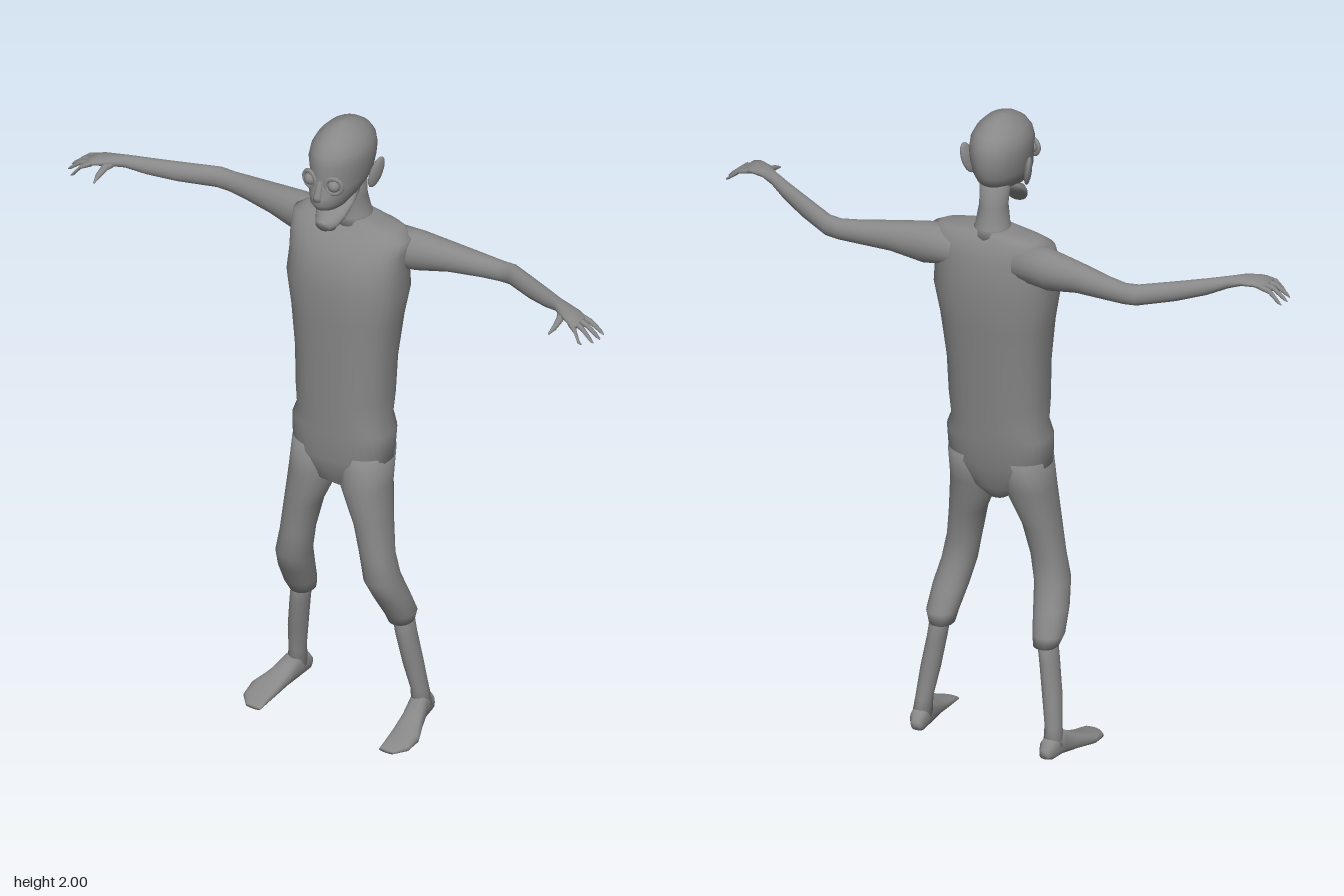
import * as THREE from 'three';

const skin = new THREE.MeshStandardMaterial({ color: 0x888888 });
skin.name = 'grey skin';

// Closed skin over elliptical rings [t, c1, c2, r1, r2] along an axis ('x', 'y' or 'z').
// c1,r1 and c2,r2 lie on the other two axes in x, y, z order; side mirrors x.
function loft(name, axis, rings, { side = 1, n = 20, power = 2 } = {}) {
  const pos = [], idx = [];
  const add = (t, u, v) => {
    const p = axis === 'x' ? [t, u, v] : axis === 'y' ? [u, t, v] : [u, v, t];
    pos.push(p[0] * side, p[1], p[2]);
  };
  const bend = (v) => Math.sign(v) * Math.abs(v) ** (2 / power);
  for (const [t, c1, c2, r1, r2] of rings) {
    for (let i = 0; i < n; i++) {
      const a = (i / n) * Math.PI * 2;
      add(t, c1 + r1 * bend(Math.cos(a)), c2 + r2 * bend(Math.sin(a)));
    }
  }
  const last = rings.length - 1;
  add(rings[0][0], rings[0][1], rings[0][2]);
  add(rings[last][0], rings[last][1], rings[last][2]);
  const start = rings.length * n, end = start + 1;
  for (let i = 0; i < n; i++) {
    const j = (i + 1) % n;
    for (let k = 0; k < last; k++) {
      const a = k * n + i, b = k * n + j;
      idx.push(a, b, b + n, a, b + n, a + n);
    }
    idx.push(start, j, i, end, last * n + i, last * n + j);
  }
  // Turn all faces outwards, whichever way the rings run
  const P = (i) => new THREE.Vector3().fromArray(pos, i * 3);
  const origin = P(start);
  let volume = 0;
  for (let i = 0; i < idx.length; i += 3) {
    const [a, b, c] = [0, 1, 2].map((k) => P(idx[i + k]).sub(origin));
    volume += a.dot(b.cross(c));
  }
  if (volume < 0) idx.reverse();
  const geo = new THREE.BufferGeometry();
  geo.setAttribute('position', new THREE.Float32BufferAttribute(pos, 3));
  geo.setIndex(idx);
  geo.computeVertexNormals();
  return named(name, geo);
}

function named(name, geo) {
  const mesh = new THREE.Mesh(geo, skin);
  mesh.name = name;
  return mesh;
}

function makeHead() {
  const head = new THREE.Group();
  head.name = 'head';
  // Skull with upper jaw
  head.add(loft('skull', 'y', [
    [1.765, 0, 0.07, 0.042, 0.068], [1.785, 0, 0.045, 0.056, 0.108],
    [1.81, 0, 0.027, 0.068, 0.124], [1.835, 0, 0.015, 0.076, 0.125],
    [1.87, 0, 0.007, 0.081, 0.126], [1.905, 0, 0.008, 0.086, 0.127],
    [1.935, 0, 0.006, 0.082, 0.119], [1.96, 0, 0.005, 0.069, 0.1],
    [1.982, 0, 0.004, 0.048, 0.069], [1.995, 0, 0.004, 0.024, 0.035], [2, 0, 0.004, 0.005, 0.007],
  ], { n: 28 }));
  // Hanging lower jaw
  head.add(loft('lowerJaw', 'z', [
    [-0.005, 0, 1.78, 0.05, 0.025], [0.04, 0, 1.75, 0.054, 0.022], [0.075, 0, 1.725, 0.049, 0.026],
    [0.1, 0, 1.704, 0.036, 0.027], [0.118, 0, 1.703, 0.025, 0.019], [0.128, 0, 1.711, 0.014, 0.008],
  ]));
  head.add(loft('nose', 'y', [
    [1.8, 0, 0.145, 0.014, 0.012], [1.815, 0, 0.145, 0.013, 0.014], [1.86, 0, 0.13, 0.007, 0.008],
  ], { n: 10 }));
  for (const s of [1, -1]) {
    const eye = named('eye', new THREE.SphereGeometry(0.019, 14, 10));
    eye.position.set(s * 0.04, 1.85, 0.12);
    const rim = named('eyeRim', new THREE.TorusGeometry(0.025, 0.007, 8, 20));
    rim.position.set(s * 0.04, 1.85, 0.122);
    rim.rotation.y = s * 0.3;
    const ear = named('ear', new THREE.SphereGeometry(1, 14, 10));
    ear.scale.set(0.011, 0.052, 0.024);
    ear.position.set(s * 0.097, 1.845, -0.018);
    ear.rotation.set(-0.3, s * -0.3, s * -0.22);
    head.add(eye, rim, ear);
  }
  return head;
}

function makeArm(side) {
  const arm = new THREE.Group();
  arm.name = side > 0 ? 'leftArm' : 'rightArm';
  // Shoulder to palm, bent forward at the elbow
  arm.add(loft('armAndPalm', 'x', [
    [0.1, 1.585, -0.065, 0.06, 0.07], [0.2, 1.58, -0.085, 0.063, 0.052],
    [0.3, 1.583, -0.098, 0.046, 0.042], [0.4, 1.579, -0.113, 0.036, 0.032],
    [0.46, 1.577, -0.119, 0.032, 0.026], [0.5, 1.58, -0.116, 0.032, 0.027],
    [0.6, 1.592, -0.064, 0.03, 0.028], [0.68, 1.606, -0.022, 0.025, 0.025],
    [0.735, 1.62, 0.008, 0.018, 0.022], [0.77, 1.625, 0.03, 0.015, 0.03],
    [0.81, 1.623, 0.046, 0.013, 0.037], [0.838, 1.615, 0.052, 0.01, 0.034],
  ], { side, n: 18 }));
  // Four fingers: root z, tip x, tip z
  for (const [rootZ, tipX, tipZ] of [[0.024, 0.895, 0.018], [0.042, 0.9, 0.046], [0.06, 0.895, 0.074], [0.076, 0.87, 0.1]]) {
    const midX = (0.815 + tipX) / 2;
    arm.add(loft('finger', 'x', [
      [0.815, 1.62, rootZ, 0.009, 0.01],
      [midX, 1.609, (rootZ + tipZ) / 2 + 0.002, 0.008, 0.008],
      [tipX - 0.01, 1.585, tipZ, 0.006, 0.006], [tipX, 1.577, tipZ, 0.002, 0.002],
    ], { side, n: 8 }));
  }
  arm.add(loft('thumb', 'z', [
    [0.03, 0.765, 1.622, 0.018, 0.011], [0.065, 0.776, 1.615, 0.012, 0.01],
    [0.1, 0.778, 1.604, 0.008, 0.008], [0.125, 0.775, 1.595, 0.003, 0.003],
  ], { side, n: 8 }));
  return arm;
}

function makeLeg(side) {
  const leg = new THREE.Group();
  leg.name = side > 0 ? 'leftLeg' : 'rightLeg';
  // Thigh and knee in a trouser leg that ends in a cuff
  leg.add(loft('trouserLeg', 'y', [
    [0.92, 0.085, 0.0, 0.07, 0.09], [0.82, 0.086, 0.018, 0.073, 0.084],
    [0.7, 0.118, 0.03, 0.053, 0.067], [0.6, 0.135, 0.037, 0.05, 0.053],
    [0.52, 0.15, 0.034, 0.05, 0.06], [0.45, 0.162, 0.003, 0.051, 0.055],
    [0.38, 0.171, -0.032, 0.046, 0.05], [0.345, 0.168, -0.042, 0.036, 0.042],
  ], { side, power: 2.2 }));
  leg.add(loft('shin', 'y', [
    [0.38, 0.17, -0.042, 0.029, 0.038], [0.3, 0.181, -0.047, 0.028, 0.038],
    [0.2, 0.196, -0.06, 0.029, 0.034], [0.11, 0.208, -0.076, 0.025, 0.03], [0.05, 0.212, -0.082, 0.029, 0.036],
  ], { side, n: 16 }));
  leg.add(loft('foot', 'z', [
    [-0.134, 0.207, 0.038, 0.015, 0.014], [-0.115, 0.209, 0.046, 0.026, 0.031],
    [-0.06, 0.214, 0.053, 0.03, 0.041], [-0.01, 0.226, 0.036, 0.035, 0.028],
    [0.05, 0.241, 0.022, 0.045, 0.019], [0.1, 0.241, 0.013, 0.041, 0.013], [0.134, 0.227, 0.007, 0.025, 0.006],
  ], { side, n: 16, power: 2.5 }));
  return leg;
}

export function createModel() {
  const model = new THREE.Group();
  model.name = 'gauntFigure';
  // Pelvis, waist, chest and sloping shoulders
  model.add(loft('torso', 'y', [
    [0.78, 0, -0.005, 0.03, 0.035], [0.82, 0, 0.008, 0.09, 0.075], [0.9, 0, 0.003, 0.157, 0.096],
    [0.99, 0, -0.002, 0.16, 0.102], [1.03, 0, -0.003, 0.144, 0.104], [1.1, 0, -0.006, 0.15, 0.108],
    [1.22, 0, -0.011, 0.153, 0.114], [1.36, 0, -0.018, 0.169, 0.123], [1.46, 0, -0.023, 0.188, 0.128],
    [1.53, 0, -0.027, 0.183, 0.12], [1.59, 0, -0.037, 0.19, 0.105], [1.63, 0, -0.05, 0.195, 0.077],
    [1.65, 0, -0.055, 0.16, 0.058], [1.665, 0, -0.055, 0.06, 0.05],
  ], { n: 32, power: 2.4 }));
  model.add(loft('neck', 'y', [
    [1.63, 0, -0.055, 0.075, 0.068], [1.67, 0, -0.052, 0.05, 0.056], [1.73, 0, -0.045, 0.042, 0.045],
    [1.8, 0, -0.035, 0.045, 0.048],
  ]));
  model.add(makeHead());
  for (const side of [1, -1]) model.add(makeArm(side), makeLeg(side));
  return model;
}
